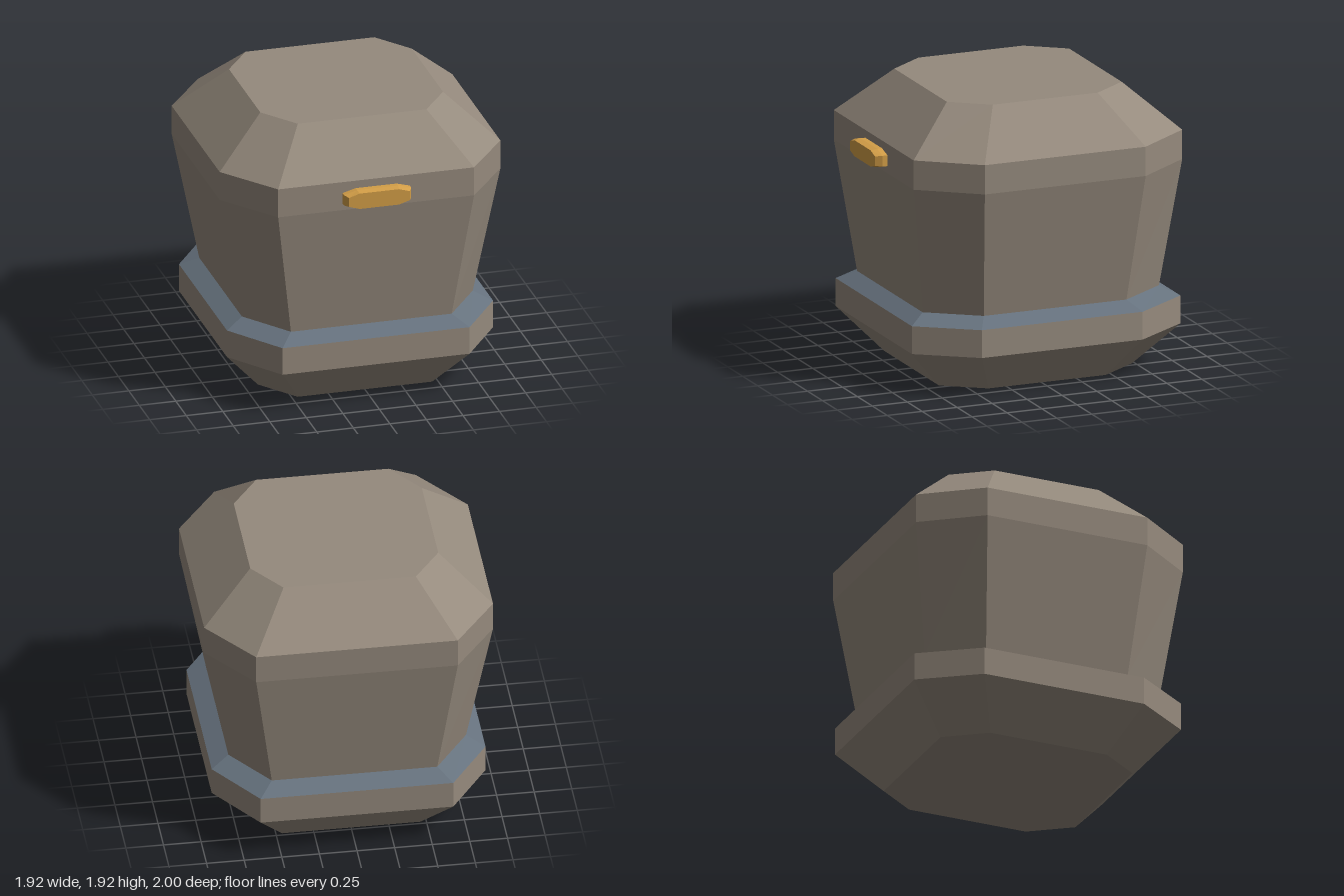
import * as THREE from 'three';

// Chamfered-rectangle outline, counter-clockwise
function octagon([, hx, hz, cx, cz]) {
  return [
    [hx, -cz], [hx, cz], [cx, hz], [-cx, hz],
    [-hx, cz], [-hx, -cz], [-cx, -hz], [cx, -hz],
  ];
}

// Loft flat faces through rings given as [y, halfX, halfZ, chamferX, chamferZ]
function loft(rings, capBottom, capTop) {
  const positions = [];
  const loops = rings.map(r => octagon(r).map(([u, v]) => [u, r[0], -v]));
  const tri = (a, b, c) => positions.push(...a, ...b, ...c);
  for (let k = 0; k < loops.length - 1; k++) {
    const lo = loops[k], hi = loops[k + 1];
    for (let i = 0; i < 8; i++) {
      const j = (i + 1) % 8;
      tri(lo[i], lo[j], hi[j]);
      tri(lo[i], hi[j], hi[i]);
    }
  }
  const first = loops[0], last = loops[loops.length - 1];
  for (let i = 1; i < 7; i++) {
    if (capBottom) tri(first[0], first[i + 1], first[i]);
    if (capTop) tri(last[0], last[i], last[i + 1]);
  }
  const g = new THREE.BufferGeometry();
  g.setAttribute('position', new THREE.Float32BufferAttribute(positions, 3));
  g.computeVertexNormals();
  return g;
}

export function createModel() {
  const group = new THREE.Group();
  const material = (name, color) => {
    const m = new THREE.MeshStandardMaterial({ color, flatShading: true });
    m.name = name;
    return m;
  };
  const stone = material('warm grey', 0x958a7d);
  const slate = material('slate blue', 0x66727e);
  const gold = material('gold', 0xd39e47);

  const add = (name, geometry, mat) => {
    const mesh = new THREE.Mesh(geometry, mat);
    mesh.name = name;
    group.add(mesh);
    return mesh;
  };

  const rimTop = [0.48, 0.91, 0.96, 0.64, 0.575];
  const neck = [0.54, 0.79, 0.845, 0.55, 0.51];

  // Base, sloped collar and tapering body share their edge rings
  const base = loft([
    [0, 0.655, 0.69, 0.46, 0.42],
    [0.29, 0.91, 0.96, 0.64, 0.575],
    rimTop,
  ], true, false);
  const collar = loft([rimTop, neck], false, false);
  const body = loft([
    neck,
    [1.42, 0.96, 0.96, 0.67, 0.575],
    [1.62, 0.96, 0.96, 0.67, 0.575],
    [1.925, 0.625, 0.625, 0.44, 0.375],
  ], false, true);
  add('base', base, stone).position.z = -0.04;
  add('collar', collar, slate).position.z = -0.04;
  add('body', body, stone).position.z = -0.04;

  // Bevelled badge on the front, lofted along z
  const badge = loft([
    [0.9, 0.23, 0.062, 0.14, 0.037],
    [0.955, 0.23, 0.062, 0.14, 0.037],
    [1.0, 0.208, 0.055, 0.135, 0.032],
  ], true, true);
  badge.rotateX(Math.PI / 2);
  add('frontBadge', badge, gold).position.y = 1.505;

  return group;
}
